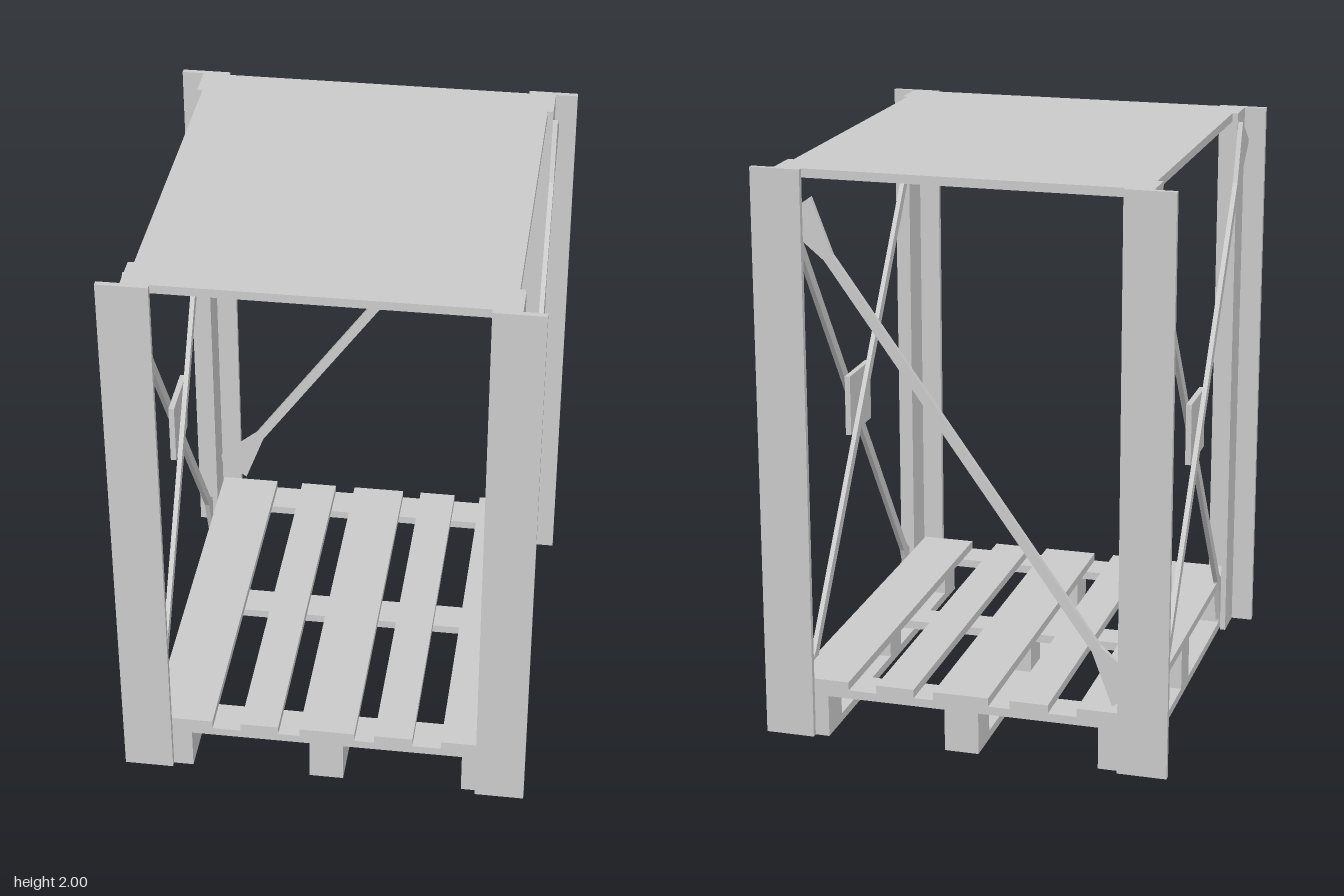
import * as THREE from 'three';

const material = new THREE.MeshStandardMaterial({ color: 0xcccccc, flatShading: true });

export function createModel() {
  const model = new THREE.Group();
  model.name = 'palletRack';

  const add = (parent, name, geometry) => {
    const mesh = new THREE.Mesh(geometry, material);
    mesh.name = name;
    parent.add(mesh);
    return mesh;
  };

  // Box given by its limits on each axis
  const box = (parent, name, [x0, x1], [y0, y1], [z0, z1]) =>
    add(parent, name, new THREE.BoxGeometry(x1 - x0, y1 - y0, z1 - z0))
      .position.set((x0 + x1) / 2, (y0 + y1) / 2, (z0 + z1) / 2);

  // Flat strip with flared gusset ends, centred, tilted in the XY plane
  const TILT = 0.622;
  const braceGeometry = (half, neck, flare, thickness, tilt) => {
    const w = 0.018;
    const shape = new THREE.Shape([
      [-flare, -half], [flare, -half], [w, -neck], [w, neck],
      [flare, half], [-flare, half], [-w, neck], [-w, -neck],
    ].map(([x, y]) => new THREE.Vector2(x, y)));
    return new THREE.ExtrudeGeometry(shape, { depth: thickness, bevelEnabled: false })
      .translate(0, 0, -thickness / 2)
      .rotateZ(tilt);
  };

  // Four T-section corner columns
  for (const sx of [-1, 1]) {
    for (const sz of [-1, 1]) {
      const column = new THREE.Group();
      column.name = 'column';
      const span = (s, a, b) => (s > 0 ? [a, b] : [-b, -a]);
      box(column, 'columnFlange', span(sx, 0.54, 0.712), [0, 2], span(sz, 0.73, 0.75));
      box(column, 'columnWeb', span(sx, 0.615, 0.635), [0, 2], span(sz, 0.6, 0.73));
      model.add(column);
    }
  }

  // Roof sheet
  box(model, 'roofSheet', [-0.615, 0.615], [1.97, 2], [-0.73, 0.73]);

  // Crossed braces on both sides: one outside the webs, one inside, joined by a plate
  for (const s of [-1, 1]) {
    const side = new THREE.Group();
    side.name = 'sideBracing';
    const strip = (name, x, tilt) =>
      add(side, name, braceGeometry(1.15, 0.935, 0.078, 0.017, tilt).rotateY(-Math.PI / 2))
        .position.set(s * x, 0.988, 0.005);
    strip('outerBrace', 0.6435, s * TILT);
    strip('innerBrace', 0.6065, -s * TILT);
    box(side, 'centrePlate', [s * 0.625 - 0.01, s * 0.625 + 0.01], [0.89, 1.11], [-0.1, 0.12]);
    model.add(side);
  }

  // Single diagonal brace across the back
  add(model, 'backBrace', braceGeometry(0.98, 0.785, 0.07, 0.017, -TILT))
    .position.set(-0.003, 1.07, -0.7215);

  // Pallet: skids, blocks, cross boards and deck boards
  const pallet = new THREE.Group();
  pallet.name = 'pallet';
  const columnsX = [[-0.61, -0.47], [-0.05, 0.07], [0.49, 0.61]];
  const rowsZ = [[-0.73, -0.6], [-0.065, 0.055], [0.6, 0.73]];
  for (const x of columnsX) {
    box(pallet, 'skid', x, [0, 0.03], [-0.73, 0.73]);
    for (const z of rowsZ) box(pallet, 'block', x, [0.03, 0.15], z);
  }
  for (const z of rowsZ) box(pallet, 'crossBoard', [-0.61, 0.61], [0.15, 0.18], z);
  for (const x of [[-0.61, -0.395], [-0.295, -0.16], [-0.085, 0.11], [0.18, 0.315], [0.415, 0.61]]) {
    box(pallet, 'deckBoard', x, [0.18, 0.21], [-0.73, 0.73]);
  }
  model.add(pallet);

  return model;
}
